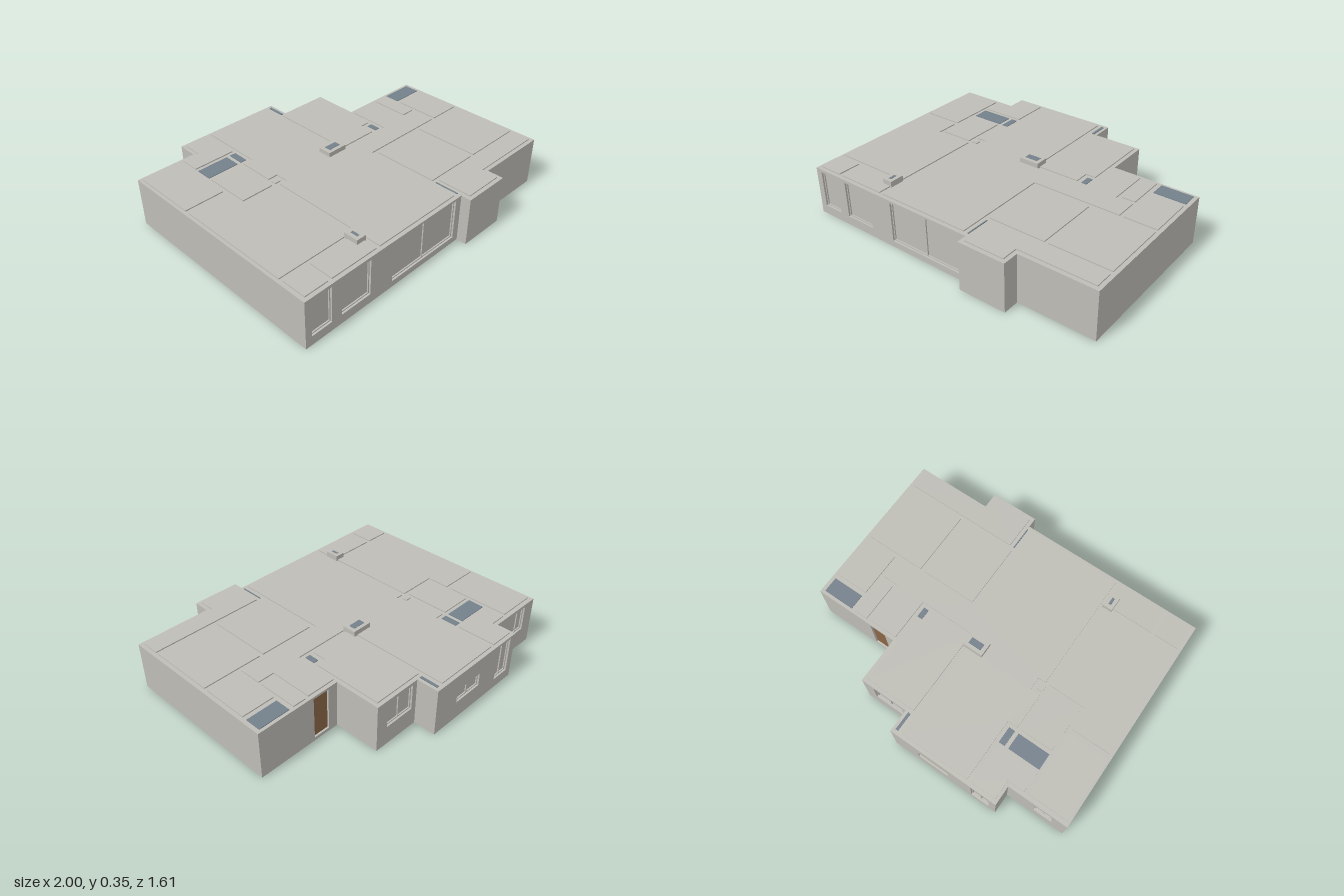
import * as THREE from 'three';

const SLAB = 0.02, TOP = 0.315, ROOF = 0.322, RECESS = 0.02;

// Building footprint as [x, z] corners
const outline = [
  [-1, -0.68], [-0.61, -0.68], [-0.61, -0.805], [0.12, -0.805], [0.12, -0.66], [0.44, -0.66], [0.44, -0.36],
  [1, -0.36], [1, 0.70], [0.51, 0.70], [0.51, 0.805], [0.20, 0.805], [0.20, 0.74], [-1, 0.74],
];

// Rectangular roof panels: x0, x1, z0, z1
const rectRooms = [
  [-0.98, -0.725, -0.65, -0.235], [-0.70, -0.49, -0.375, -0.085], [-0.465, -0.425, -0.12, -0.085],
  [0.655, 0.74, -0.34, -0.085], [0.765, 0.975, -0.21, 0.085], [0.195, 0.56, 0.11, 0.535],
  [0.585, 0.975, 0.11, 0.535], [-0.975, -0.82, 0.56, 0.715], [-0.795, -0.475, 0.56, 0.715],
];

// Angular roof panels
const polyRooms = [
  [[-0.98, -0.205], [-0.725, -0.205], [-0.725, -0.06], [-0.475, -0.06], [-0.475, 0.535], [-0.98, 0.535]],
  [[-0.59, -0.78], [-0.425, -0.78], [-0.425, -0.53], [-0.70, -0.53], [-0.70, -0.655], [-0.59, -0.655]],
  [[-0.40, -0.78], [0.055, -0.78], [0.055, -0.15], [-0.055, -0.15], [-0.055, -0.06], [0.44, -0.06],
    [0.44, -0.335], [0.63, -0.335], [0.63, -0.06], [0.74, -0.06], [0.74, 0.085], [0.165, 0.085],
    [0.165, 0.715], [-0.45, 0.715], [-0.45, -0.06], [-0.40, -0.06], [-0.40, -0.145], [-0.465, -0.145],
    [-0.465, -0.375], [-0.40, -0.375]],
  [[0.08, -0.635], [0.415, -0.635], [0.415, -0.18], [0.35, -0.18], [0.35, -0.085], [0.08, -0.085]],
  [[0.225, 0.56], [0.975, 0.56], [0.975, 0.675], [0.485, 0.675], [0.485, 0.78], [0.225, 0.78]],
];

// Roof lights: x0, x1, z0, z1
const roofLights = [
  [-0.70, -0.49, -0.505, -0.40], [-0.465, -0.425, -0.505, -0.40], [0.77, 0.975, -0.34, -0.24],
  [0.38, 0.413, -0.153, -0.085], [0.083, 0.1, -0.78, -0.66], [0.193, 0.2, 0.56, 0.715],
];

// Openings by wall z: x0, x1, y0, y1, number of lights
const openings = [
  { z: 0.74, x0: -0.957, x1: -0.82, y0: 0.06, y1: 0.295, lights: 1 },
  { z: 0.74, x0: -0.75, x1: -0.54, y0: 0.06, y1: 0.295, lights: 1 },
  { z: 0.74, x0: -0.37, x1: 0.155, y0: 0.04, y1: 0.3, lights: 2 },
  { z: -0.68, x0: -0.91, x1: -0.79, y0: 0.13, y1: 0.295, lights: 2 },
  { z: -0.805, x0: -0.565, x1: -0.44, y0: 0.065, y1: 0.3, lights: 2 },
  { z: -0.805, x0: -0.275, x1: -0.065, y0: 0.12, y1: 0.205, lights: 2 },
  { z: -0.66, x0: 0.155, x1: 0.36, y0: 0.125, y1: 0.295, lights: 2 },
  { z: -0.36, x0: 0.505, x1: 0.615, y0: 0.022, y1: 0.3, door: true },
];

export function createModel() {
  const model = new THREE.Group();
  model.name = 'apartment';
  const plaster = new THREE.MeshStandardMaterial({ name: 'plaster', color: 0xbebdb6 });
  const glass = new THREE.MeshStandardMaterial({ name: 'blueGrey', color: 0x75818b });
  const wood = new THREE.MeshStandardMaterial({ name: 'wood', color: 0x8b6747 });

  const add = (name, geometry, material = plaster) => {
    const mesh = new THREE.Mesh(geometry, material);
    mesh.name = name;
    model.add(mesh);
    return mesh;
  };
  const box = (name, x0, x1, y0, y1, z0, z1, material) =>
    add(name, new THREE.BoxGeometry(x1 - x0, y1 - y0, z1 - z0), material)
      .position.set((x0 + x1) / 2, (y0 + y1) / 2, (z0 + z1) / 2);
  // Upright prism over an [x, z] polygon
  const prism = (name, points, y0, y1) => {
    const shape = new THREE.Shape(points.map(([x, z]) => new THREE.Vector2(x, -z)));
    const geometry = new THREE.ExtrudeGeometry(shape, { depth: y1 - y0, bevelEnabled: false });
    add(name, geometry.rotateX(-Math.PI / 2).translate(0, y0, 0));
  };

  // Floor slab and inner body, set back behind the front and back walls
  prism('floorSlab', outline, 0, SLAB);
  prism('innerBody', outline.map(([x, z]) => [x, z - Math.sign(z) * RECESS]), SLAB, TOP);

  // Front and back walls with their openings cut out
  outline.forEach(([xa, z], i) => {
    const [xb, zb] = outline[(i + 1) % outline.length];
    if (z !== zb) return;
    const x0 = Math.min(xa, xb), x1 = Math.max(xa, xb);
    const rect = (C, l, r, b, t) => new C([[l, b], [r, b], [r, t], [l, t]].map(p => new THREE.Vector2(...p)));
    const shape = rect(THREE.Shape, x0, x1, SLAB, TOP);
    for (const o of openings) if (o.z === z) shape.holes.push(rect(THREE.Path, o.x0, o.x1, o.y0, o.y1));
    const geometry = new THREE.ExtrudeGeometry(shape, { depth: RECESS, bevelEnabled: false });
    add(z > 0 ? 'frontWall' : 'backWall', geometry.translate(0, 0, z > 0 ? z - RECESS : z));
  });

  // Window frames and the entrance door inside the openings
  for (const { z, x0, x1, y0, y1, lights, door } of openings) {
    const back = z - Math.sign(z) * RECESS, face = back + Math.sign(z) * 0.008;
    const za = Math.min(back, face), zb = Math.max(back, face), t = 0.007;
    if (door) {
      box('entranceDoor', x0, x1, y0, y1, za, zb, wood);
      continue;
    }
    box('windowSill', x0, x1, y0, y0 + t, za, zb);
    box('windowHead', x0, x1, y1 - t, y1, za, zb);
    for (let k = 0; k <= lights; k++) {
      const x = x0 + (x1 - x0 - t) * k / lights;
      box('windowPost', x, x + t, y0 + t, y1 - t, za, zb);
    }
  }

  // Raised roof panels over the rooms
  for (const [x0, x1, z0, z1] of rectRooms) box('roofPanel', x0, x1, TOP, ROOF, z0, z1);
  for (const points of polyRooms) prism('roofPanel', points, TOP, ROOF);
  for (const [x0, x1, z0, z1] of roofLights) box('roofLight', x0, x1, TOP, TOP + 0.004, z0, z1, glass);

  // Vent stacks with their openings
  box('ventStack', -0.055, 0.08, TOP, 0.352, -0.148, -0.058);
  box('ventOpening', -0.03, 0.055, 0.352, 0.354, -0.125, -0.083, glass);
  box('ventStack', -0.53, -0.465, TOP, 0.352, 0.535, 0.63);
  box('ventOpening', -0.507, -0.49, 0.352, 0.354, 0.56, 0.607, glass);

  return model;
}
